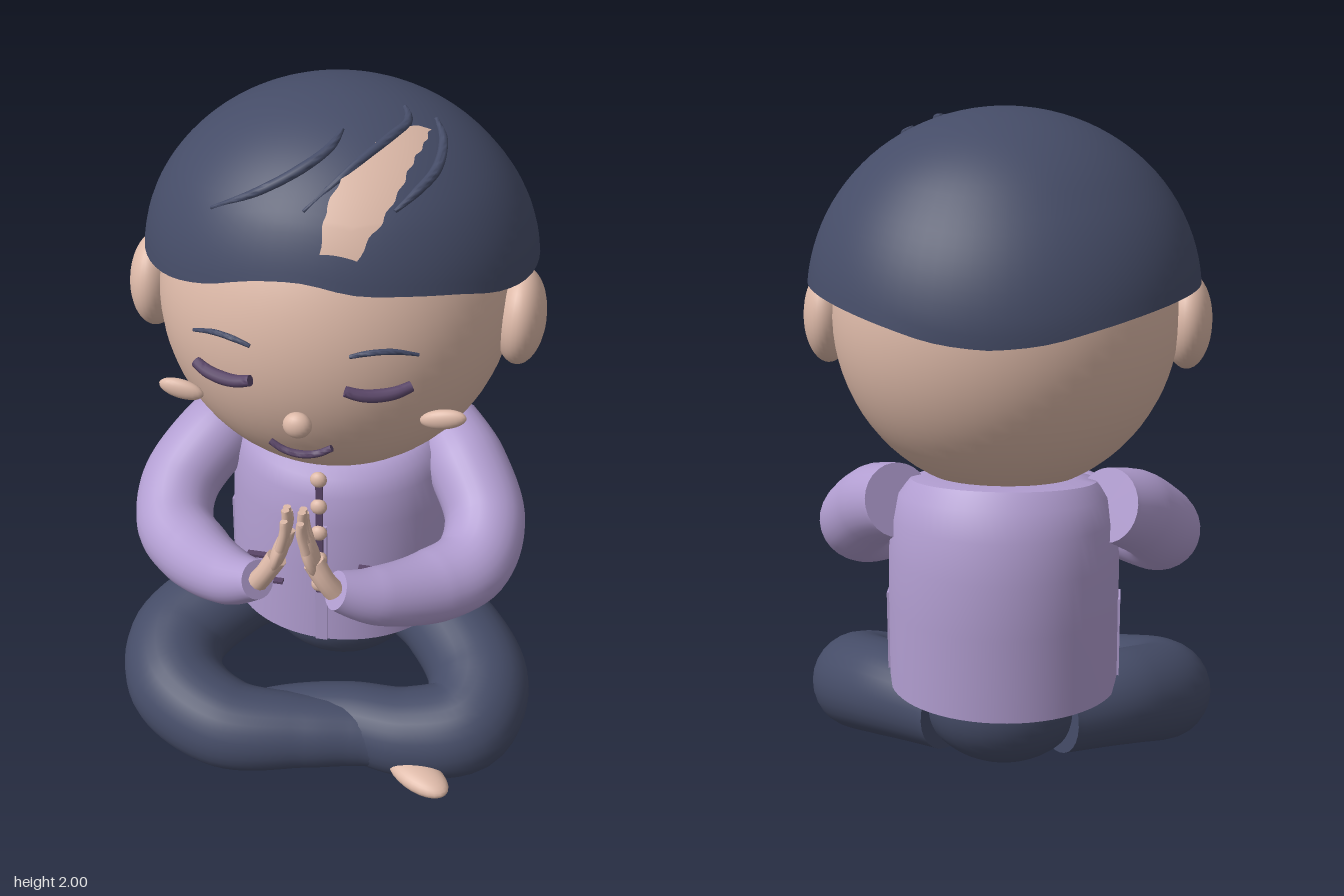
import * as THREE from 'three';
import { toCreasedNormals } from 'three/addons/utils/BufferGeometryUtils.js';
import { ParametricGeometry } from 'three/addons/geometries/ParametricGeometry.js';

const V = (p) => new THREE.Vector3(...p);

export function createModel() {
  const model = new THREE.Group();
  model.name = 'meditatingChild';

  const material = (name, color) => {
    const m = new THREE.MeshStandardMaterial({ color, side: THREE.DoubleSide });
    m.name = name;
    return m;
  };
  const skin = material('skin', 0xddb9a8);
  const navy = material('navy', 0x454c67);
  const lilac = material('lilac', 0xb29ed1);
  const plum = material('plum', 0x5a4668);

  const add = (name, geometry, mat, parent = model) => {
    const mesh = new THREE.Mesh(geometry, mat);
    mesh.name = name;
    parent.add(mesh);
    return mesh;
  };
  const ellipsoid = (name, mat, pos, size, seg = 32, parent = model) => {
    const mesh = add(name, new THREE.SphereGeometry(1, seg, Math.ceil(seg * 0.7)), mat, parent);
    mesh.position.set(...pos);
    mesh.scale.set(...size);
    return mesh;
  };
  const box = (name, mat, pos, size) =>
    add(name, new THREE.BoxGeometry(...size), mat).position.set(...pos);

  // Tapered tube through [x, y, z, radius] stations with flat closed ends
  const limb = (name, mat, stations, seg = 40, sides = 24, parent = model) => {
    const curve = new THREE.CatmullRomCurve3(stations.map((s) => V(s.slice(0, 3))));
    const g = new THREE.TubeGeometry(curve, seg, 1, sides);
    const pos = g.attributes.position;
    const p = new THREE.Vector3();
    for (let i = 0; i <= seg; i++) {
      const c = curve.getPointAt(i / seg);
      const inner = curve.getPointAt(THREE.MathUtils.clamp(i, 1, seg - 1) / seg);
      const t = curve.getUtoTmapping(i / seg) * (stations.length - 1);
      const k = Math.min(Math.floor(t), stations.length - 2);
      let r = THREE.MathUtils.lerp(stations[k][3], stations[k + 1][3], t - k);
      if (i === 0 || i === seg) r = 0;
      for (let j = 0; j <= sides; j++) {
        const n = i * (sides + 1) + j;
        p.fromBufferAttribute(pos, n).sub(c).multiplyScalar(r).add(inner);
        pos.setXYZ(n, p.x, p.y, p.z);
      }
    }
    return add(name, toCreasedNormals(g, 0.8), mat, parent);
  };
  const mirrored = (stations, s) => stations.map(([x, ...rest]) => [x * s, ...rest]);

  // Head
  ellipsoid('head', skin, [0, 1.427, -0.008], [0.485, 0.502, 0.474], 56);
  ellipsoid('nose', skin, [0, 1.29, 0.483], [0.038, 0.036, 0.028], 20);
  limb('mouth', plum, [[-0.09, 1.212, 0.447, 0.009], [-0.045, 1.187, 0.451, 0.01], [0, 1.18, 0.453, 0.011],
    [0.045, 1.187, 0.451, 0.01], [0.09, 1.212, 0.447, 0.009]], 20, 10);
  for (const s of [1, -1]) {
    const side = s > 0 ? 'left' : 'right';
    ellipsoid(side + 'Ear', skin, [s * 0.507, 1.41, 0.02], [0.069, 0.135, 0.118]);
    const cheek = ellipsoid(side + 'Cheek', skin, [s * 0.352, 1.26, 0.335], [0.062, 0.028, 0.02], 20);
    cheek.rotation.z = s * 0.2;
    limb(side + 'ClosedEye', plum, mirrored([[0.113, 1.407, 0.478, 0.014], [0.16, 1.392, 0.468, 0.017],
      [0.2, 1.388, 0.455, 0.018], [0.245, 1.393, 0.438, 0.017], [0.288, 1.407, 0.413, 0.014]], s), 20, 10);
    limb(side + 'Eyebrow', navy, mirrored([[0.118, 1.487, 0.452, 0.005], [0.17, 1.5, 0.442, 0.008],
      [0.23, 1.5, 0.42, 0.008], [0.3, 1.478, 0.385, 0.004]], s), 20, 8);
  }

  // Hair cap: lower edge height every 15 degrees around the head, starting and ending at the back
  const rim = new THREE.SplineCurve([1.46, 1.472, 1.5, 1.522, 1.535, 1.54, 1.54, 1.545, 1.555, 1.575, 1.61, 1.655,
    1.67, 1.645, 1.632, 1.61, 1.572, 1.548, 1.54, 1.54, 1.535, 1.522, 1.5, 1.472, 1.46]
    .map((y, i) => new THREE.Vector2(i, y)));
  const hairCentre = (y) => -0.035 - 0.036 * THREE.MathUtils.clamp((1.8 - y) / 0.3, 0, 1);
  add('hair', toCreasedNormals(new ParametricGeometry((u, v, target) => {
    const edge = rim.getPoint(1 - u).y;
    const a = Math.PI - 2 * Math.PI * u;
    const row = Math.round(v * 26);
    const phi = Math.acos((edge - 1.5) / 0.5) * Math.min(row / 24, 1);
    const inset = row > 24 ? 1 - 0.1 * (row - 24) : 1;
    const y = 1.5 + 0.5 * Math.cos(phi) + Math.max(row - 24, 0) * 0.022;
    const r = Math.sin(Math.min(phi, Math.PI / 2)) * inset;
    target.set(0.54 * r * Math.sin(a), y, hairCentre(y) + 0.51 * r * Math.cos(a));
  }, 72, 26), 0.9), navy);

  const onHair = (x, z, lift = 0) => {
    let y = 1.8;
    for (let i = 0; i < 10; i++) {
      const q = 1 - (x / 0.54) ** 2 - ((z - hairCentre(y)) / 0.51) ** 2;
      y = 1.5 + 0.5 * Math.sqrt(Math.max(q, 0.02));
    }
    const n = new THREE.Vector3(x / 0.29, (y - 1.5) / 0.25, (z + 0.04) / 0.26).normalize();
    return new THREE.Vector3(x, y, z).addScaledVector(n, lift);
  };

  // Bare parting laid just over the hair, and the raised locks around it
  const parting = [[0.088, 0.398, 0.09], [0.115, 0.335, 0.135], [0.145, 0.26, 0.135], [0.175, 0.19, 0.105],
    [0.205, 0.12, 0.08], [0.235, 0.06, 0.03]];
  add('parting', new ParametricGeometry((u, v, target) => {
    const t = v * (parting.length - 1);
    const k = Math.min(Math.floor(t), parting.length - 2);
    const [x, z, w] = parting[k].map((a, i) => THREE.MathUtils.lerp(a, parting[k + 1][i], t - k));
    const ragged = 0.003 * Math.sin(t * 9);
    target.copy(onHair(x - (u - 0.5) * w + ragged, z + (u - 0.5) * 0.01, 0.005));
  }, 8, 40), skin);
  const locks = [
    [[0.17, -0.01], [0.195, 0.06], [0.165, 0.14], [0.1, 0.24], [-0.02, 0.36]],
    [[0.25, -0.02], [0.285, 0.06], [0.285, 0.16], [0.25, 0.24], [0.2, 0.31]],
    [[0.05, 0.14], [0.03, 0.21], [-0.03, 0.27], [-0.13, 0.31], [-0.27, 0.3]],
  ];
  for (const path of locks) {
    limb('hairLock', navy, path.map(([x, z], i) =>
      [...onHair(x, z, 0.001).toArray(), [0.004, 0.012, 0.014, 0.012, 0.004][i]]), 28, 10);
  }

  // Shirt body: sections as [y, half width, front z, back z, forward drop]
  const sections = [[0.97, 0, -0.08, -0.08, 0], [0.965, 0.2, 0.06, -0.25, 0.15], [0.955, 0.265, 0.135, -0.31, 0.15],
    [0.92, 0.3, 0.175, -0.35, 0.1], [0.86, 0.318, 0.198, -0.378, 0.04], [0.76, 0.33, 0.212, -0.398, 0],
    [0.6, 0.333, 0.22, -0.398, 0], [0.35, 0.335, 0.22, -0.388, 0], [0.352, 0, -0.08, -0.08, 0]];
  add('shirtBody', toCreasedNormals(new ParametricGeometry((u, v, target) => {
    const [y, w, front, back, drop] = sections[Math.round(v * (sections.length - 1))];
    const a = -2 * Math.PI * u;
    const z = (front + back) / 2 + (front - back) / 2 * Math.cos(a);
    target.set(w * Math.sin(a), y - drop * z, z);
  }, 64, sections.length - 1), 0.7), lilac);
  box('placket', lilac, [0, 0.56, 0.221], [0.035, 0.42, 0.009]);
  box('placketTrim', plum, [0, 0.755, 0.24], [0.02, 0.42, 0.009]);
  for (let i = 0; i < 5; i++) ellipsoid('button', skin, [0, 0.58 + i * 0.093, 0.247], [0.024, 0.024, 0.018], 16);
  for (const s of [1, -1]) {
    box('pocketFlap', plum, [s * 0.165, 0.637, 0.22], [0.11, 0.009, 0.02]);
    box('pocketSide', plum, [s * 0.217, 0.593, 0.22], [0.008, 0.085, 0.02]);
    box('pocketBottom', plum, [s * 0.165, 0.548, 0.22], [0.1, 0.008, 0.02]);
    box('sideVent', lilac, [s * 0.333, 0.487, -0.085], [0.009, 0.274, 0.08]);
  }

  // Sleeves and praying hands
  for (const s of [1, -1]) {
    const side = s > 0 ? 'left' : 'right';
    limb(side + 'Sleeve', lilac, mirrored([[0.285, 0.92, -0.155, 0.105], [0.37, 0.87, -0.045, 0.117], [0.452, 0.77, 0.09, 0.115],
      [0.435, 0.705, 0.215, 0.112], [0.34, 0.695, 0.325, 0.105], [0.2, 0.745, 0.46, 0.08], [0.095, 0.805, 0.53, 0.05]], s), 56, 28);
    const hand = new THREE.Group();
    hand.name = side + 'Hand';
    model.add(hand);
    limb('wrist', skin, mirrored([[0.11, 0.79, 0.525, 0.03], [0.08, 0.84, 0.535, 0.028], [0.045, 0.9, 0.53, 0.03]], s), 12, 12, hand);
    const palm = ellipsoid('palm', skin, [s * 0.042, 0.915, 0.53], [0.021, 0.07, 0.042], 20, hand);
    palm.rotation.z = s * 0.3;
    for (let i = 0; i < 4; i++) {
      const z = 0.502 + i * 0.019;
      const tip = [1.04, 1.068, 1.07, 1.045][i];
      limb('finger', skin, mirrored([[0.038, 0.93, z, 0.013], [0.022, 1.0, z, 0.013],
        [0.022, tip - 0.012, z, 0.011], [0.023, tip, z, 0.007]], s), 12, 8, hand);
    }
    limb('thumb', skin, mirrored([[0.055, 0.88, 0.52, 0.014], [0.03, 0.92, 0.492, 0.013], [0.015, 0.965, 0.49, 0.009]], s), 12, 8, hand);
  }

  // Trousers: seat and crossed legs
  ellipsoid('trouserSeat', navy, [0, 0.32, -0.095], [0.25, 0.21, 0.242]);
  const thigh = [[0.14, 0.28, -0.17, 0.12], [0.35, 0.267, -0.015, 0.142], [0.47, 0.21, 0.16, 0.151]];
  limb('rightLeg', navy, [...mirrored(thigh, -1), [-0.43, 0.165, 0.31, 0.148], [-0.25, 0.135, 0.413, 0.133],
    [-0.02, 0.135, 0.395, 0.11], [0.14, 0.13, 0.365, 0.1], [0.27, 0.12, 0.37, 0.08]], 64, 28);
  limb('leftLeg', navy, [...thigh, [0.445, 0.16, 0.29, 0.148], [0.29, 0.135, 0.335, 0.133],
    [0.1, 0.135, 0.325, 0.115], [-0.08, 0.13, 0.35, 0.1], [-0.22, 0.125, 0.4, 0.085]], 64, 28);
  ellipsoid('rightFoot', skin, [0.34, 0.098, 0.465], [0.11, 0.035, 0.058], 24).rotation.y = -0.6;
  ellipsoid('leftFoot', skin, [-0.18, 0.1, 0.325], [0.06, 0.03, 0.05], 24);

  return model;
}
